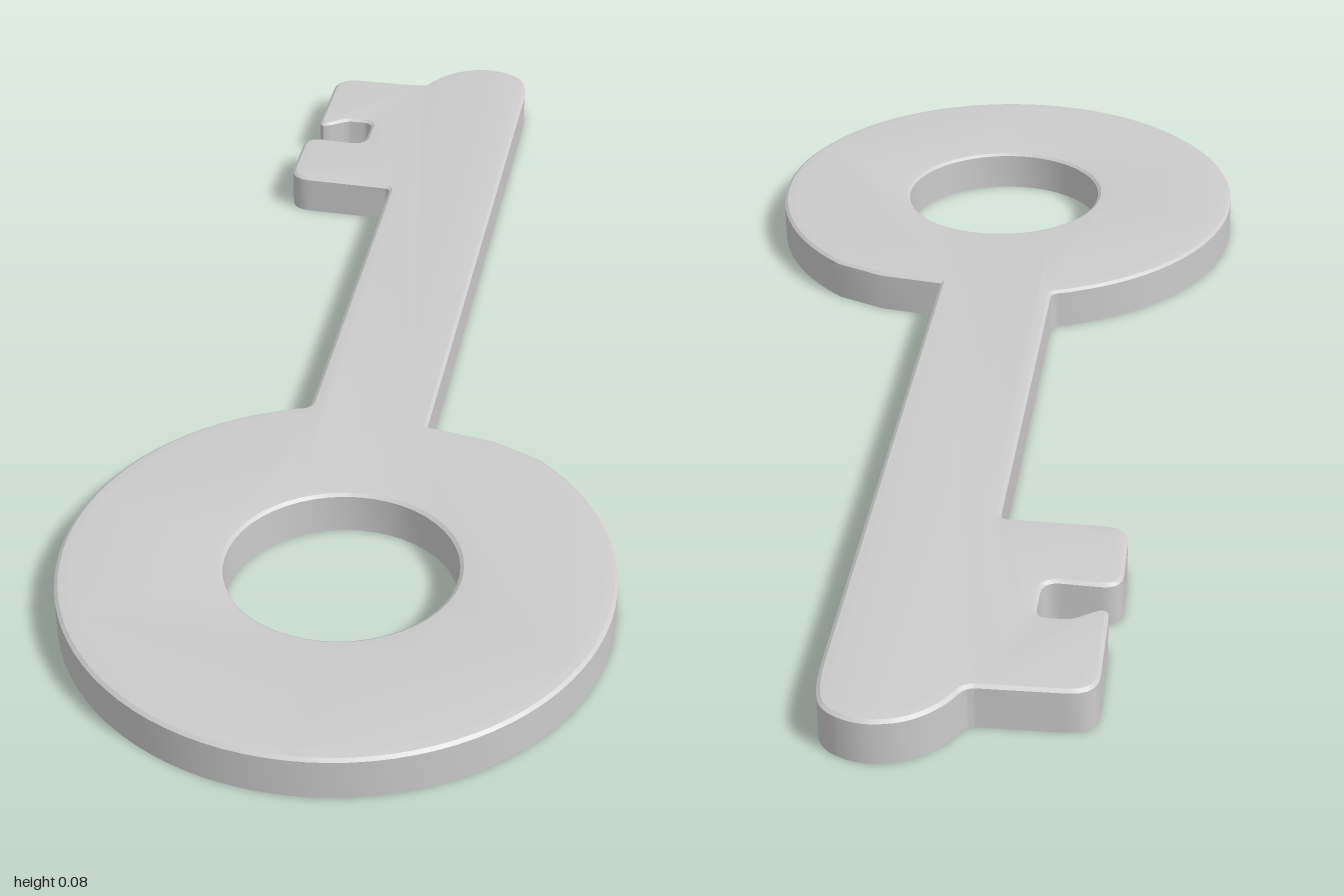
import * as THREE from 'three';
import { toCreasedNormals } from 'three/addons/utils/BufferGeometryUtils.js';

const HEIGHT = 0.075;
const SOFT = 0.02; // width of the soft upper edge
const LIP = 0.006; // height of the soft upper edge

// Points on an ellipse, from angle a to angle b
function ellipse(cx, cy, rx, ry, a, b, n) {
  return Array.from({ length: n + 1 }, (_, i) => {
    const t = a + (b - a) * i / n;
    return new THREE.Vector2(cx + rx * Math.cos(t), cy + ry * Math.sin(t));
  });
}

// Rounds each corner [x, y, cut] of an open path
function roundCorners(corners, steps = 5) {
  const pts = corners.map(([x, y]) => new THREE.Vector2(x, y));
  const out = [];
  pts.forEach((p, i) => {
    const cut = corners[i][2];
    if (!cut) return out.push(p);
    const toward = (q) => p.clone().add(q.clone().sub(p).setLength(cut));
    const curve = new THREE.QuadraticBezierCurve(toward(pts[i - 1]), p, toward(pts[i + 1]));
    out.push(...curve.getPoints(steps));
  });
  return out;
}

export function createModel() {
  const group = new THREE.Group();
  group.name = 'key';

  // Stem, two teeth and rounded tip, seen from above
  const blade = roundCorners([
    [-0.14, 0.13 - 0.26, 0],
    [-0.11, -0.135, 0.015],
    [0.217, 0.545, 0.012],
    [0.035, 0.635, 0.04],
    [0.105, 0.785, 0.035],
    [0.212, 0.728, 0.03],
    [0.252, 0.81, 0.02],
    [0.205, 0.832, 0.012],
    [0.138, 0.82, 0.03],
    [0.23, 1.015, 0.045],
    [0.40, 0.938, 0.014],
    [0.45, 0.973, 0.03],
    [0.505, 0.985, 0.025],
    [0.57, 0.97, 0.035],
    [0.612, 0.915, 0.03],
    [0.595, 0.85, 0.03],
    [0.07, -0.24, 0],
    [0.165, -0.305, 0],
  ]);

  // Round bow, joined to the stem in one outline
  const bow = ellipse(-0.172, -0.565, 0.443, 0.435, 0.45, 1.58 - Math.PI * 2, 72);
  const shape = new THREE.Shape([...blade, ...bow]);
  shape.holes.push(new THREE.Path(ellipse(-0.163, -0.563, 0.188, 0.178, 0, Math.PI * 2 * 47 / 48, 47)));

  const geometry = new THREE.ExtrudeGeometry(shape, {
    depth: HEIGHT - LIP,
    bevelEnabled: true,
    bevelThickness: LIP,
    bevelSize: SOFT,
    bevelOffset: -SOFT,
    bevelSegments: 2,
  });

  // The underside is flat, only the upper edge is softened
  const pos = geometry.attributes.position;
  for (let i = 0; i < pos.count; i++) pos.setZ(i, Math.max(0, pos.getZ(i)));
  geometry.rotateX(-Math.PI / 2);

  const material = new THREE.MeshStandardMaterial({ color: 0xcccccc });
  const key = new THREE.Mesh(toCreasedNormals(geometry, 0.45), material);
  key.name = 'keyBody';
  group.add(key);
  return group;
}
